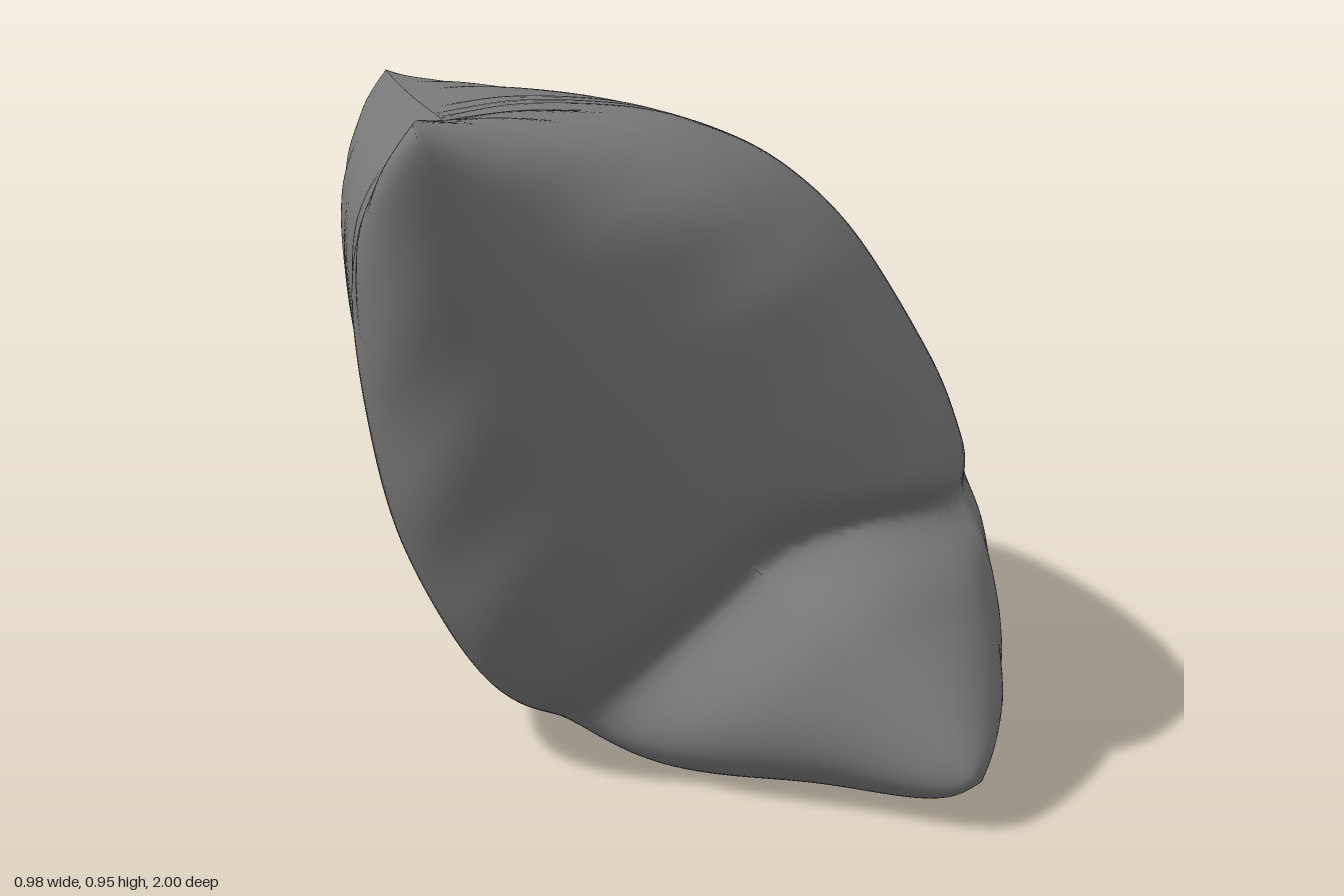
import * as THREE from 'three';

const NS = 110, NT = 130;
const CENTER = [-0.02, 0.48];      // middle of the cushion in x, y
const ALONG = [0.67, -0.742];      // from the upper long seam to the lower one
const OUT = [0.742, 0.67];         // thickness direction
const SEAM_A = [-0.53, 0.048], SEAM_B = [0.57, 0.07];

// Mid cross-section of each panel from seam to seam: distance along, thickness
const PANELS = {
  upperPanel: {
    side: 1,
    profile: [SEAM_A, [-0.45, 0.165], [-0.333, 0.287], [-0.224, 0.36], [-0.116, 0.4], [0.02, 0.411],
      [0.207, 0.382], [0.315, 0.349], [0.435, 0.284], [0.535, 0.178], SEAM_B],
  },
  lowerPanel: {
    side: -1,
    profile: [SEAM_A, [-0.505, -0.11], [-0.438, -0.212], [-0.3, -0.315], [-0.124, -0.405], [0.083, -0.448],
      [0.206, -0.42], [0.336, -0.34], [0.455, -0.19], [0.545, -0.05], SEAM_B],
  },
};

// Half length of the cushion: pointed corners with a tight tuck at the fold
function halfLength(s, fold) {
  const d = s - fold;
  const r = Math.sqrt(d * d + 0.0008);
  const tuck = 0.08 * Math.exp(-Math.pow(d / 0.1, 2));
  return 0.8 + r * (d < 0 ? 0.145 : 0.385) - tuck;
}

// Soft puckers beside the seams and around the end folds
function wrinkle(s, t, side) {
  const z = t * 0.9;
  const nearSeam = Math.exp(-Math.pow((1 - Math.abs(s)) / 0.25, 2)) * (1 - t * t);
  const seam = Math.sin(31 * z + side * 1.3 + 2 * Math.sin(9 * z)) * 0.006 * nearSeam;
  const nearEnd = Math.exp(-Math.pow((1 - Math.abs(t)) / 0.2, 2)) * (1 - s * s);
  const end = Math.sin(19 * s + side + 3 * t) * 0.006 * nearEnd;
  return seam + end;
}

// Carry a profile point to position t along the length
function panelPoint([uMid, nMid], t, side) {
  const { lerp } = THREE.MathUtils;
  const f = (uMid - SEAM_A[0]) / (SEAM_B[0] - SEAM_A[0]);
  const s = 2 * f - 1, t2 = t * t;
  const corner = 1 - 0.035 * Math.pow(s * t, 20);
  const u = (uMid - lerp(0.085 * t2, 0.02 * t2 * t2, f)) * corner;
  // The seam plane shifts a little towards the corners
  const seamMid = lerp(SEAM_A[1], SEAM_B[1], f);
  const seam = seamMid - t2 * (lerp(0.022, 0.085, f) + 0.04 * (1 - s * s));
  const lengthwise = Math.sqrt(Math.max(0, 1 - Math.pow(Math.abs(t), 4.5 + s)));
  const thick = (nMid - seamMid) * lengthwise;
  const fade = Math.min(1, Math.abs(thick) / 0.08);
  const n = seam + thick + side * wrinkle(s, t, side) * fade;
  // On the upper panel the fold swings round towards the lower seam
  const fold = 0.4 + (side > 0 ? 5.5 * Math.min(0.07, thick * thick) : 0);
  const twist = t * t2;
  return [
    CENTER[0] + u * ALONG[0] + n * OUT[0] - 0.022 * twist,
    Math.max(0, CENTER[1] + u * ALONG[1] + n * OUT[1] - 0.012 * twist),
    t * halfLength(s, fold) * corner,
  ];
}

function makePanel(name, { side, profile }, material) {
  const curve = new THREE.SplineCurve(profile.map(([u, n]) => new THREE.Vector2(u, n)));
  const positions = [], index = [];
  for (const p of curve.getSpacedPoints(NS)) {
    for (let j = 0; j <= NT; j++) {
      const t = Math.sin((j / NT - 0.5) * Math.PI);
      positions.push(...panelPoint([p.x, p.y], t, side));
    }
  }
  for (let i = 0; i < NS; i++) {
    for (let j = 0; j < NT; j++) {
      const a = i * (NT + 1) + j, b = a + 1, c = a + NT + 1, d = c + 1;
      if (side > 0) index.push(a, b, c, b, d, c);
      else index.push(a, c, b, b, c, d);
    }
  }
  const geometry = new THREE.BufferGeometry();
  geometry.setAttribute('position', new THREE.Float32BufferAttribute(positions, 3));
  geometry.setIndex(index);
  geometry.computeVertexNormals();
  const mesh = new THREE.Mesh(geometry, material);
  mesh.name = name;
  return mesh;
}

export function createModel() {
  const group = new THREE.Group();
  group.name = 'cushion';
  const fabric = new THREE.MeshStandardMaterial({ color: 0x787878 });
  // The two fabric panels meet at the seam
  for (const [name, shape] of Object.entries(PANELS)) group.add(makePanel(name, shape, fabric));
  return group;
}
